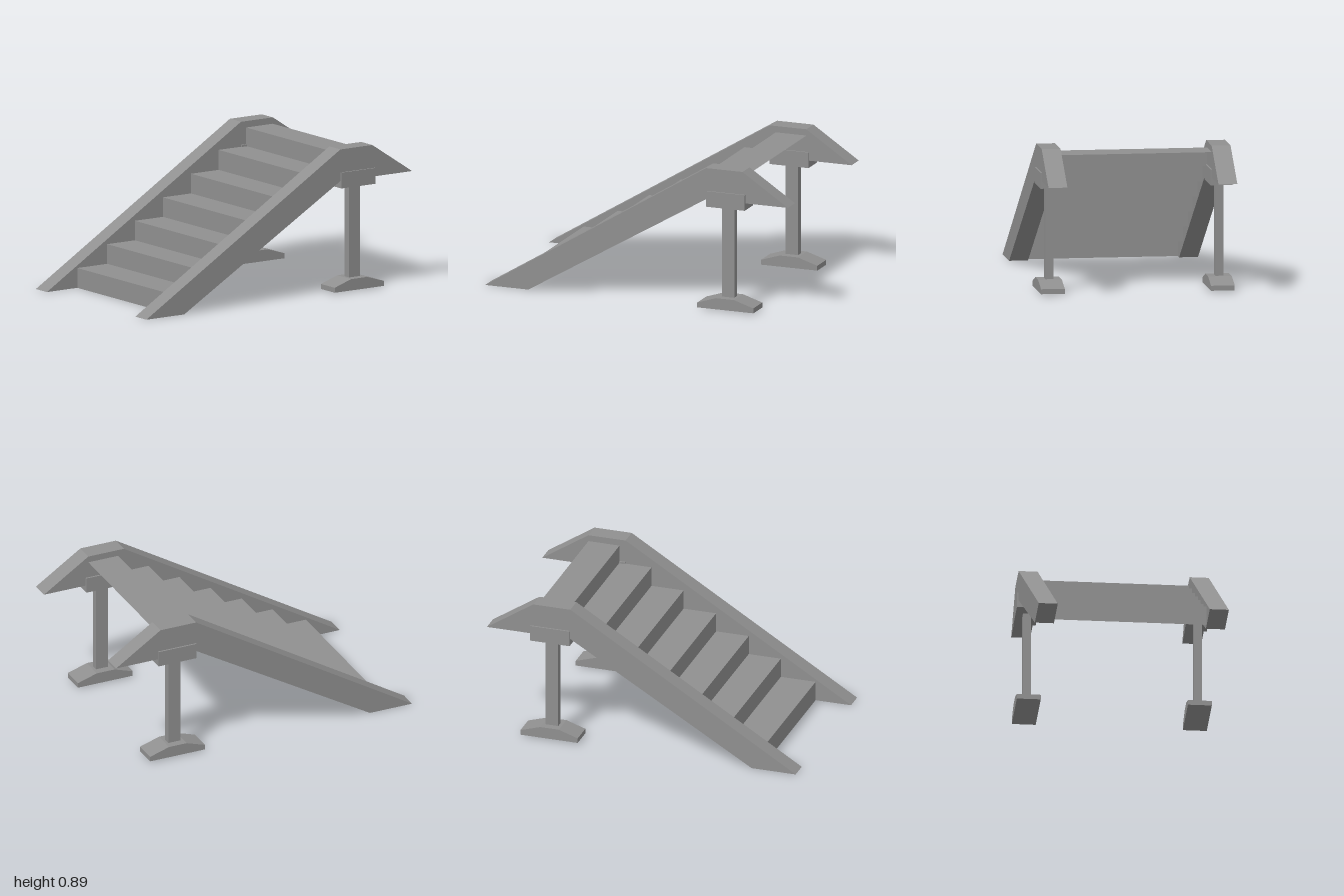
import * as THREE from 'three';

const material = new THREE.MeshStandardMaterial({ color: 0x909090, flatShading: true });
const sheetMaterial = new THREE.MeshStandardMaterial({ color: 0x909090, flatShading: true, side: THREE.DoubleSide });

// Extrudes a side profile of [z, y] points across x from x0 to x1
function sideExtrude(name, profile, x0, x1) {
  const shape = new THREE.Shape(profile.map(([z, y]) => new THREE.Vector2(-z, y)));
  const geometry = new THREE.ExtrudeGeometry(shape, { depth: x1 - x0, bevelEnabled: false });
  geometry.rotateY(Math.PI / 2);
  geometry.translate(x0, 0, 0);
  const mesh = new THREE.Mesh(geometry, material);
  mesh.name = name;
  return mesh;
}

function box(name, w, h, d, x, y, z) {
  const mesh = new THREE.Mesh(new THREE.BoxGeometry(w, h, d), material);
  mesh.position.set(x, y, z);
  mesh.name = name;
  return mesh;
}

// Thin folded sheet of risers and treads; the first and last steps differ slightly
function buildSteps() {
  const heights = [0, 0.124, 0.247, 0.369, 0.491, 0.614, 0.739, 0.855];
  const edges = [0.771, 0.546, 0.338, 0.127, -0.084, -0.292, -0.499, -0.7];
  const width = 0.936;
  const steps = new THREE.Group();
  steps.name = 'steps';
  for (let i = 0; i < 7; i++) {
    const rise = heights[i + 1] - heights[i];
    const run = edges[i] - edges[i + 1];
    const riser = new THREE.Mesh(new THREE.PlaneGeometry(width, rise), sheetMaterial);
    riser.position.set(0, heights[i] + rise / 2, edges[i]);
    riser.name = 'riser';
    const tread = new THREE.Mesh(new THREE.PlaneGeometry(width, run), sheetMaterial);
    tread.rotation.x = -Math.PI / 2;
    tread.position.set(0, heights[i + 1], edges[i] - run / 2);
    tread.name = 'tread';
    steps.add(riser, tread);
  }
  return steps;
}

export function createModel() {
  const model = new THREE.Group();
  model.name = 'staircase';
  model.add(buildSteps());

  const stringer = [[1, 0], [-0.46, 0.895], [-0.70, 0.895], [-1, 0.697], [-0.46, 0.697], [0.715, 0]];
  const foot = [[-0.407, 0.007], [-0.407, 0.038], [-0.53, 0.078], [-0.65, 0.078], [-0.778, 0.038], [-0.778, 0.007]];

  for (const side of [1, -1]) {
    const centre = 0.5265 * side;
    const label = side > 0 ? 'left' : 'right';
    const across = (name, profile, width) =>
      sideExtrude(label + name, profile, centre - width / 2, centre + width / 2);

    // Sloping side beam with its rear overhang
    model.add(across('Stringer', stringer, 0.117));

    // Support: bracket, post and spreading foot
    const support = new THREE.Group();
    support.name = label + 'Support';
    support.add(
      box('bracket', 0.137, 0.099, 0.257, centre, 0.7015, -0.59),
      box('post', 0.048, 0.59, 0.082, centre, 0.365, -0.591),
      across('Foot', foot, 0.147)
    );
    model.add(support);
  }
  return model;
}
